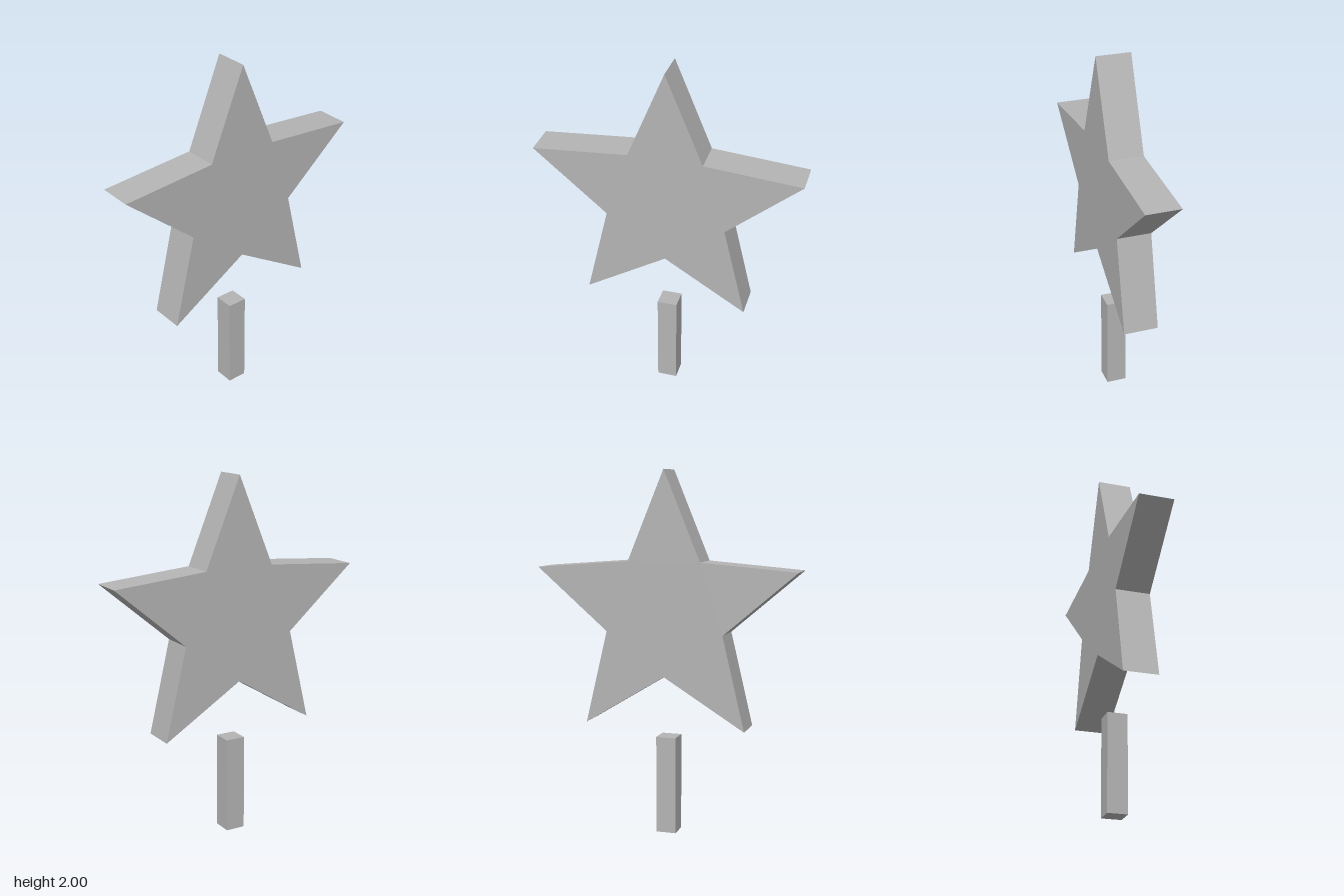
import * as THREE from 'three';

export function createModel() {
  const group = new THREE.Group();
  const grey = new THREE.MeshStandardMaterial({ color: 0xb4b4b4, name: 'grey' });

  // Five-pointed star, alternating outer tips and inner notches
  const outer = 0.768, inner = 0.345, depth = 0.19;
  const points = [];
  for (let i = 0; i < 10; i++) {
    const r = i % 2 ? inner : outer;
    const a = Math.PI / 2 + (i * Math.PI) / 5;
    points.push(new THREE.Vector2(r * Math.cos(a), r * Math.sin(a)));
  }
  const starGeometry = new THREE.ExtrudeGeometry(new THREE.Shape(points), { depth, bevelEnabled: false });
  starGeometry.translate(0, 0, -depth / 2);
  const star = new THREE.Mesh(starGeometry, grey);
  star.name = 'star';
  star.position.y = 2 - outer;
  group.add(star);

  // Square post floating just below the star
  const postHeight = 0.542;
  const post = new THREE.Mesh(new THREE.BoxGeometry(0.111, postHeight, 0.111), grey);
  post.name = 'post';
  post.position.y = postHeight / 2;
  group.add(post);

  return group;
}
